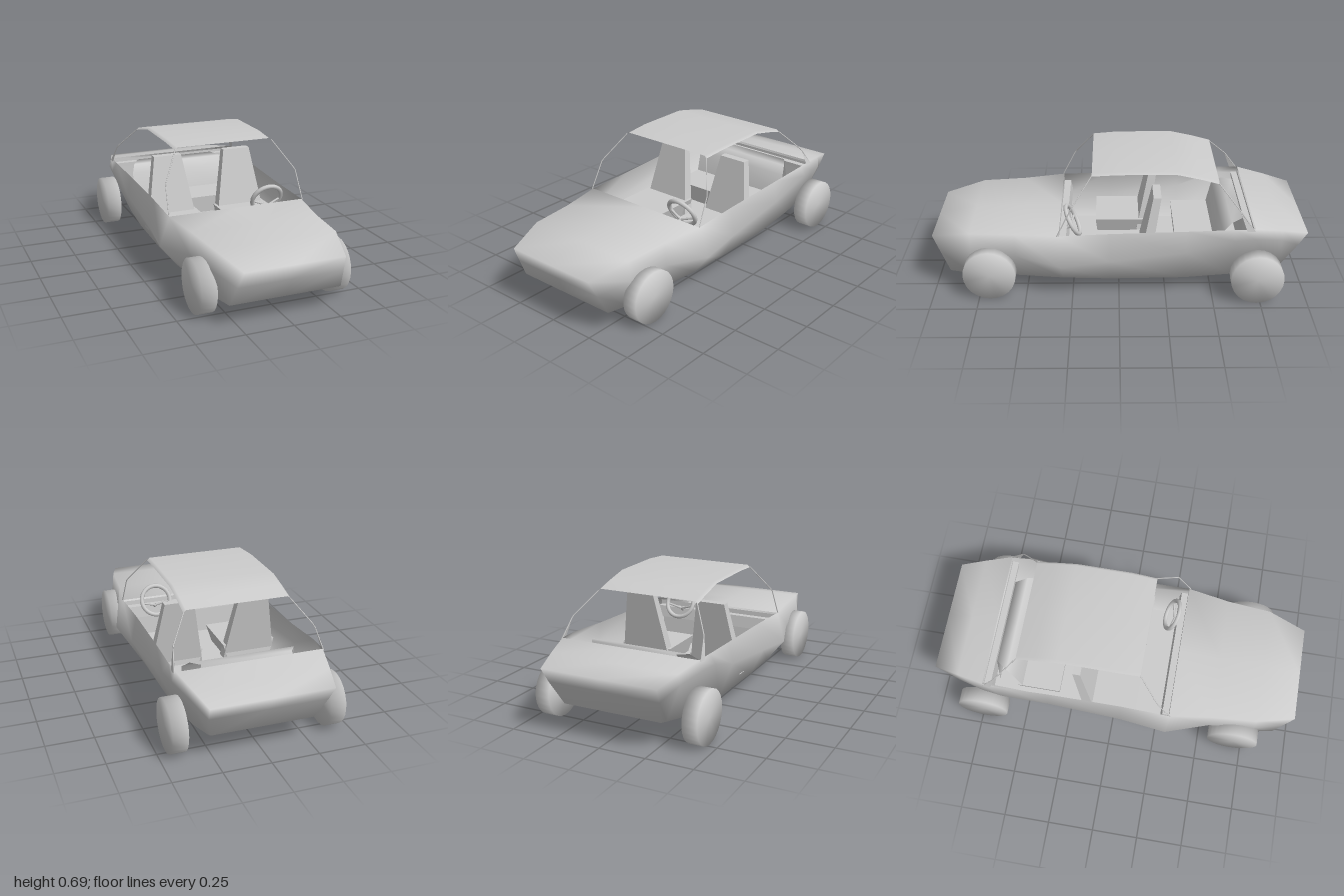
import * as THREE from 'three';
import { mergeGeometries, mergeVertices } from 'three/addons/utils/BufferGeometryUtils.js';

const grey = new THREE.MeshStandardMaterial({ color: 0xcccccc, side: THREE.DoubleSide });

// Smooth skin through rows of [x, y, z] points
function skin(rows) {
  const n = rows[0].length, index = [];
  for (let i = 0; i < rows.length - 1; i++) {
    for (let j = 0; j < n - 1; j++) {
      const a = i * n + j, b = a + n;
      index.push(a, b, a + 1, b, b + 1, a + 1);
    }
  }
  const g = new THREE.BufferGeometry();
  g.setAttribute('position', new THREE.Float32BufferAttribute(rows.flat(2), 3));
  g.setIndex(index);
  g.computeVertexNormals();
  return g;
}

// Join geometries into one continuously shaded surface
function weld(...parts) {
  for (const g of parts) {
    g.deleteAttribute('normal');
    g.deleteAttribute('uv');
  }
  const g = mergeVertices(mergeGeometries(parts), 1e-4);
  g.computeVertexNormals();
  return g;
}

// Box whose lower and upper faces are given as [halfWidth, y, zBack, zFront]
function taperedBox(lower, upper) {
  const g = new THREE.BoxGeometry(2, 1, 1);
  const p = g.attributes.position;
  for (let i = 0; i < p.count; i++) {
    const [w, y, z0, z1] = p.getY(i) > 0 ? upper : lower;
    p.setXYZ(i, p.getX(i) * w, y, p.getZ(i) > 0 ? z1 : z0);
  }
  g.computeVertexNormals();
  return g;
}

function rod(points, radius) {
  const path = new THREE.CurvePath();
  const v = points.map(p => new THREE.Vector3(...p));
  for (let i = 1; i < v.length; i++) path.add(new THREE.LineCurve3(v[i - 1], v[i]));
  return new THREE.TubeGeometry(path, 16, radius, 6, false);
}

// Hull stations: z at rim, z at sill, then [x, y] of rim, flank and sill
const stations = [
  [1, 0.91, [0.262, 0.31], [0.278, 0.22], [0.295, 0.115]],
  [0.79, 0.79, [0.325, 0.355], [0.335, 0.25], [0.318, 0.11]],
  [0.55, 0.55, [0.345, 0.36], [0.355, 0.24], [0.32, 0.1]],
  [0.32, 0.3, [0.38, 0.37], [0.43, 0.21], [0.335, 0.09]],
  [0.05, 0.05, [0.375, 0.38], [0.405, 0.23], [0.335, 0.083]],
  [-0.35, -0.35, [0.38, 0.395], [0.4, 0.28], [0.325, 0.083]],
  [-0.6, -0.6, [0.39, 0.41], [0.42, 0.36], [0.31, 0.095]],
  [-0.71, -0.71, [0.385, 0.41], [0.405, 0.36], [0.3, 0.105]],
  [-0.86, -0.84, [0.35, 0.382], [0.36, 0.33], [0.28, 0.128]],
  [-1, -0.88, [0.315, 0.35], [0.305, 0.27], [0.27, 0.135]],
];

// Row straight across the car
const across = (x, y, z) => [[-x, y, z], [0, y, z], [x, y, z]];

// Rim, flank and sill points of the left side
function sidePoints([zt, zb, rim, flank, sill]) {
  const t = (rim[1] - flank[1]) / (rim[1] - sill[1]);
  return [[...rim, zt], [...flank, zt + (zb - zt) * t], [...sill, zb]];
}

function hullRow(station) {
  const side = sidePoints(station);
  const [, y, z] = side[2];
  return [...side, [0, y, z], ...side.map(([px, py, pz]) => [-px, py, pz]).reverse()];
}

export function createModel() {
  const car = new THREE.Group();
  const add = (name, geometry, parent = car) => {
    const m = new THREE.Mesh(geometry, grey);
    m.name = name;
    parent.add(m);
    return m;
  };

  // Body shell: sides and belly, hood with nose, rear deck with tail
  const deck = s => across(...sidePoints(s)[0]);
  const endFace = s => sidePoints(s).slice(1).map(p => across(...p));
  const nose = stations[0], tail = stations[9];
  add('bodyShell', weld(
    skin(stations.map(hullRow).reverse()),
    skin([...stations.slice(0, 4).reverse().map(deck), ...endFace(nose)]),
    skin([...endFace(tail).reverse(), ...stations.slice(7).reverse().map(deck)]),
  ));

  // Cockpit lining
  add('floor', skin([across(0.33, 0.115, 0.32), across(0.3, 0.12, -0.7)]));
  add('dashboard', taperedBox([0.37, 0.27, 0.27, 0.31], [0.365, 0.335, 0.28, 0.32]));
  add('firewall', skin([across(0.37, 0.36, 0.318), across(0.33, 0.11, 0.3)]));
  add('parcelShelf', taperedBox([0.36, 0.365, -0.71, -0.67], [0.37, 0.385, -0.71, -0.67]));
  add('rearBulkhead', skin([across(0.37, 0.4, -0.705), across(0.3, 0.11, -0.7)]));

  // Front seats
  for (const side of [-1, 1]) {
    const seat = new THREE.Group();
    seat.name = side > 0 ? 'leftFrontSeat' : 'rightFrontSeat';
    seat.position.x = side * 0.21;
    add('seatCushion', taperedBox([0.12, 0.13, -0.17, 0.12], [0.15, 0.23, -0.16, 0.13]), seat);
    add('seatBack', taperedBox([0.148, 0.15, -0.16, -0.1], [0.08, 0.545, -0.222, -0.18]), seat);
    car.add(seat);
  }

  // Rear bench
  add('rearCushion', taperedBox([0.28, 0.13, -0.55, -0.32], [0.305, 0.23, -0.55, -0.31]));
  add('rearSeatBack', skin([
    across(0.305, 0.22, -0.52), across(0.305, 0.35, -0.55), across(0.28, 0.39, -0.6),
    across(0.24, 0.4, -0.66), across(0.28, 0.2, -0.66),
  ]));

  // Steering wheel with two low spokes meeting the column
  const steering = new THREE.Group();
  steering.name = 'steeringWheel';
  steering.position.set(0.205, 0.375, 0.247);
  steering.rotation.x = 0.46;
  add('steeringRim', new THREE.TorusGeometry(0.083, 0.012, 8, 28), steering);
  for (const s of [-1, 1]) {
    add('spoke', rod([[0, -0.025, 0.03], [s * 0.082, -0.01, 0]], 0.006), steering);
  }
  add('steeringColumn', rod([[0, -0.025, 0.025], [0, -0.03, 0.07]], 0.009), steering);
  car.add(steering);

  // Roof panel
  const roofRow = ([z, y, x]) => [
    [-x, y - 0.012, z], [-x + 0.015, y, z], [0, y, z], [x - 0.015, y, z], [x, y - 0.012, z],
  ];
  add('roof', skin([
    [0.14, 0.678, 0.28], [0, 0.688, 0.285], [-0.3, 0.688, 0.285], [-0.42, 0.662, 0.285], [-0.52, 0.635, 0.285],
  ].map(roofRow)));

  // Roof pillars, mirrored
  for (const s of [-1, 1]) {
    const label = s > 0 ? 'left' : 'right';
    add(label + 'FrontPillar', rod([
      [s * 0.278, 0.67, 0.14], [s * 0.372, 0.52, 0.25], [s * 0.382, 0.37, 0.325],
    ], 0.003));
    add(label + 'RearPillar', rod([
      [s * 0.282, 0.625, -0.52], [s * 0.372, 0.505, -0.63], [s * 0.392, 0.4, -0.705],
    ], 0.003));
    add(label + 'RearPillarGusset', skin([
      [[s * 0.372, 0.51, -0.625], [s * 0.372, 0.505, -0.635]],
      [[s * 0.395, 0.4, -0.665], [s * 0.395, 0.4, -0.71]],
    ]));
  }

  // Wheels with softly shaded edges
  const wheel = weld(new THREE.CylinderGeometry(0.14, 0.14, 0.08, 24).rotateZ(Math.PI / 2));
  for (const s of [-1, 1]) {
    const label = s > 0 ? 'left' : 'right';
    add(label + 'FrontWheel', wheel).position.set(s * 0.36, 0.14, 0.69);
    add(label + 'RearWheel', wheel).position.set(s * 0.412, 0.14, -0.73);
  }
  return car;
}
